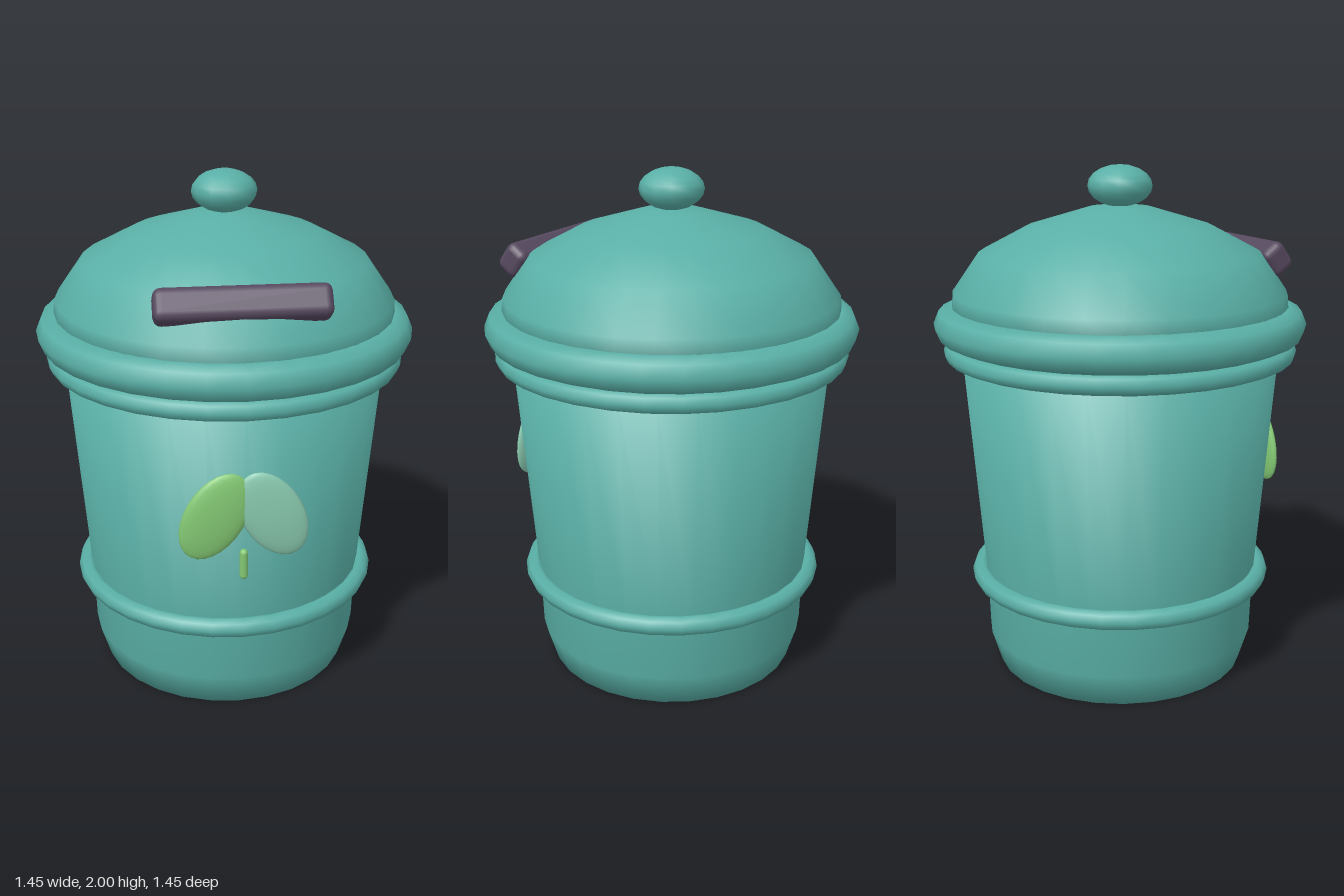
import * as THREE from 'three';
import { RoundedBoxGeometry } from 'three/addons/geometries/RoundedBoxGeometry.js';

const material = (name, color) => {
  const m = new THREE.MeshStandardMaterial({ color });
  m.name = name;
  return m;
};

export function createModel() {
  const group = new THREE.Group();
  const teal = material('teal', 0x59afa6);
  const dark = material('darkPlum', 0x56495f);
  const green = material('leafGreen', 0x83c873);
  const mint = material('mint', 0x88c8ae);

  const add = (name, geometry, mat, x = 0, y = 0, z = 0) => {
    const mesh = new THREE.Mesh(geometry, mat);
    mesh.name = name;
    mesh.position.set(x, y, z);
    group.add(mesh);
    return mesh;
  };
  const lathe = (points, sides) =>
    new THREE.LatheGeometry(points.map(([r, y]) => new THREE.Vector2(r, y)), sides);

  // Tapered bin with a narrowed foot
  add('body', lathe([[0, 0], [0.5, 0], [0.54, 0.13], [0.547, 0.35], [0.622, 1.28], [0, 1.3]], 28), teal);

  // Domed lid and its knob
  add('lid', lathe([[0, 1.4], [0.66, 1.4], [0.65, 1.52], [0.545, 1.67], [0.355, 1.77], [0.12, 1.84], [0, 1.85]], 28), teal);
  add('knob', new THREE.SphereGeometry(0.125, 12, 10), teal, 0, 1.92, 0).scale.y = 0.64;

  // Rolled rings: name, height, ring radius, tube radius
  for (const [name, y, radius, tube] of [
    ['lidRim', 1.4, 0.655, 0.07],
    ['bodyRim', 1.295, 0.652, 0.038],
    ['lowerBand', 0.38, 0.567, 0.038],
  ]) {
    add(name, new THREE.TorusGeometry(radius, tube, 8, 32).rotateX(Math.PI / 2), teal, 0, y, 0);
  }

  // Slot bar sunk into the front slope of the lid
  add('slot', new RoundedBoxGeometry(0.62, 0.122, 0.1, 2, 0.03), dark, 0, 1.64, 0.537).rotation.x = -0.63;

  // Two leaves and a short stem on the front
  for (const [name, side, mat] of [['leftLeaf', 1, mint], ['rightLeaf', -1, green]]) {
    const leaf = add(name, new THREE.SphereGeometry(1, 20, 14), mat, side * 0.105, 0.868, 0.6);
    leaf.scale.set(0.113, 0.182, 0.027);
    leaf.rotation.z = side * 0.51;
  }
  add('stem', new THREE.CapsuleGeometry(0.016, 0.09, 4, 10), green, 0, 0.67, 0.6);

  return group;
}
